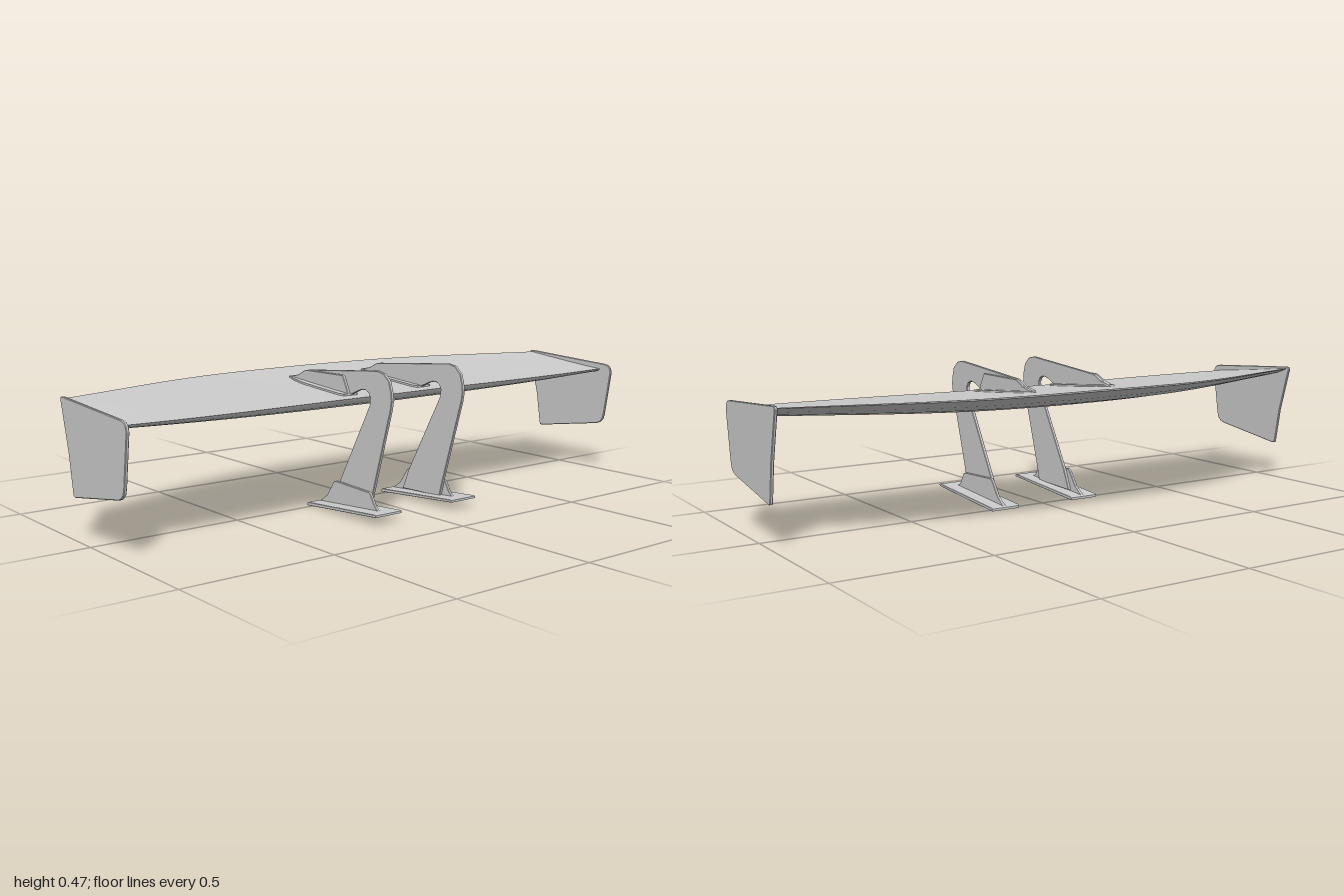
import * as THREE from 'three';
import { toCreasedNormals } from 'three/addons/utils/BufferGeometryUtils.js';

const material = new THREE.MeshStandardMaterial({ color: 0xcccccc });

function addMesh(parent, name, geometry) {
  const mesh = new THREE.Mesh(geometry, material);
  mesh.name = name;
  parent.add(mesh);
  return mesh;
}

// Upright plate from a [z, y] outline, centred on the given x
function plate(outline, thickness, x, bevel = 0.0015) {
  const shape = new THREE.Shape(outline.map(([z, y]) => new THREE.Vector2(z, y)));
  const depth = thickness - 2 * bevel;
  const g = new THREE.ExtrudeGeometry(shape, {
    depth, bevelEnabled: bevel > 0, bevelSize: bevel, bevelThickness: bevel, bevelOffset: -bevel, bevelSegments: 1,
  });
  g.translate(0, 0, -depth / 2);
  g.rotateY(-Math.PI / 2);
  g.translate(x, 0, 0);
  return g;
}

// Linear lookup in a list of [key, value] pairs
function lookup(table, k) {
  let i = 1;
  while (i < table.length - 1 && k > table[i][0]) i++;
  const [a, va] = table[i - 1], [b, vb] = table[i];
  return va + (vb - va) * THREE.MathUtils.clamp((k - a) / (b - a), 0, 1);
}

// Smooth curve over half the span, read by |x|
function spanCurve(points) {
  const curve = new THREE.SplineCurve(points.map(([x, v]) => new THREE.Vector2(x, v)));
  const samples = curve.getPoints(60).map((p) => [p.x, p.y]);
  return (x) => lookup(samples, Math.abs(x));
}

// Wing planform and section
const leadZ = spanCurve([[0, 0.185], [0.2, 0.187], [0.4, 0.196], [0.6, 0.203], [0.8, 0.203], [1, 0.195]]);
const trailZ = spanCurve([[0, -0.336], [0.2, -0.334], [0.4, -0.318], [0.6, -0.274], [0.8, -0.209], [1, -0.145]]);
const leadY = (x) => 0.377 + 0.004 * Math.abs(x);
const trailY = (x) => 0.42 - 0.004 * Math.abs(x);
const maxThick = spanCurve([[0, 0.054], [0.3, 0.051], [0.6, 0.042], [1, 0.025]]);
const thickness = [[0, 0], [0.01, 0.22], [0.04, 0.42], [0.1, 0.65], [0.2, 0.85], [0.32, 0.96], [0.45, 1],
  [0.6, 0.96], [0.75, 0.8], [0.88, 0.52], [1, 0.09]];

function wingTop(x, t) {
  return leadY(x) + (trailY(x) - leadY(x)) * Math.pow(t, 1.15);
}
function wingTopAt(x, z) {
  return wingTop(x, THREE.MathUtils.clamp((leadZ(x) - z) / (leadZ(x) - trailZ(x)), 0, 1));
}

function wingGeometry() {
  const ts = [0, 0.01, 0.04, 0.1, 0.2, 0.32, 0.45, 0.6, 0.75, 0.88, 1];
  const stations = 48, half = 0.992;
  const positions = [], index = [];
  const ring = ts.length * 2;
  for (let i = 0; i <= stations; i++) {
    const x = -half + (2 * half * i) / stations;
    const put = (t, y) => positions.push(x, y, THREE.MathUtils.lerp(leadZ(x), trailZ(x), t));
    ts.forEach((t) => put(t, wingTop(x, t)));
    [...ts].reverse().forEach((t) => put(t, wingTop(x, t) - maxThick(x) * lookup(thickness, t)));
  }
  for (let i = 0; i < stations; i++) {
    for (let j = 0; j < ring - 1; j++) {
      const a = i * ring + j, b = a + ring;
      index.push(a, b, a + 1, b, b + 1, a + 1);
    }
  }
  const g = new THREE.BufferGeometry();
  g.setAttribute('position', new THREE.Float32BufferAttribute(positions, 3));
  g.setIndex(index);
  return toCreasedNormals(g, 0.7);
}

// Tapered pad that lies on the wing's upper skin
function padGeometry(cx) {
  const g = new THREE.BoxGeometry(0.066, 0.008, 0.32, 2, 1, 16);
  const p = g.attributes.position;
  for (let i = 0; i < p.count; i++) {
    const z = p.getZ(i) - 0.02;
    const width = lookup([[-0.18, 0.3], [-0.14, 0.7], [-0.08, 1], [0.12, 1], [0.14, 0.85]], z);
    const x = cx + p.getX(i) * width;
    p.setXYZ(i, x, wingTopAt(x, z) + 0.002 + p.getY(i), z);
  }
  return toCreasedNormals(g, 0.5);
}

const endPlateOutline = [[0.246, 0.37], [0.242, 0.386], [0.232, 0.396], [0.215, 0.4], [-0.145, 0.422], [-0.157, 0.421],
  [-0.161, 0.412], [-0.157, 0.4], [-0.12, 0.26], [-0.1, 0.14], [-0.097, 0.132], [-0.088, 0.13],
  [0.185, 0.173], [0.203, 0.18], [0.215, 0.192], [0.221, 0.212]];

// Neck that hooks over the leading edge and runs back along the upper skin
const neckOutline = [[0.235, 0.025], [0.25, 0.08], [0.335, 0.357], [0.34, 0.385], [0.337, 0.41], [0.327, 0.443],
  [0.302, 0.465], [0.27, 0.471], [-0.085, 0.44], [-0.1, 0.436], [-0.13, 0.421], [-0.18, 0.411], [-0.17, 0.4],
  [-0.05, 0.388], [0.13, 0.376], [0.145, 0.385], [0.18, 0.4], [0.2, 0.405], [0.214, 0.405], [0.228, 0.398],
  [0.236, 0.383], [0.234, 0.36], [0.08, 0.09], [0.05, 0.02]];

const upperBracketOutline = [[0.14, 0.38], [0.126, 0.41], [0.112, 0.437], [0.105, 0.442], [-0.085, 0.44],
  [-0.1, 0.436], [-0.13, 0.421], [-0.18, 0.409], [-0.05, 0.39]];

const lowerBracketOutline = [[0.3, 0.028], [0.28, 0.036], [0.27, 0.046], [0.25, 0.079], [0.24, 0.084], [0.07, 0.091],
  [0.06, 0.086], [0.025, 0.037], [-0.012, 0.01]];

const footOutline = [[0.335, 0.027], [0.335, 0.034], [0.327, 0.035], [-0.016, 0.011], [-0.02, 0.008], [-0.02, 0]];

export function createModel() {
  const model = new THREE.Group();
  model.name = 'rearWing';
  addMesh(model, 'wingBlade', wingGeometry());

  for (const side of [1, -1]) {
    const label = side > 0 ? 'left' : 'right';
    addMesh(model, label + 'EndPlate', plate(endPlateOutline, 0.01, side * 0.995, 0.002));

    const support = new THREE.Group();
    support.name = label + 'Support';
    model.add(support);
    addMesh(support, 'neck', plate(neckOutline, 0.011, side * 0.149));
    addMesh(support, 'upperBracket', plate(upperBracketOutline, 0.01, side * 0.159));
    addMesh(support, 'lowerBracket', plate(lowerBracketOutline, 0.01, side * 0.159));
    addMesh(support, 'foot', plate(footOutline, 0.106, side * 0.159, 0.001));
    addMesh(support, 'wingPad', padGeometry(side * 0.155));
  }
  return model;
}
